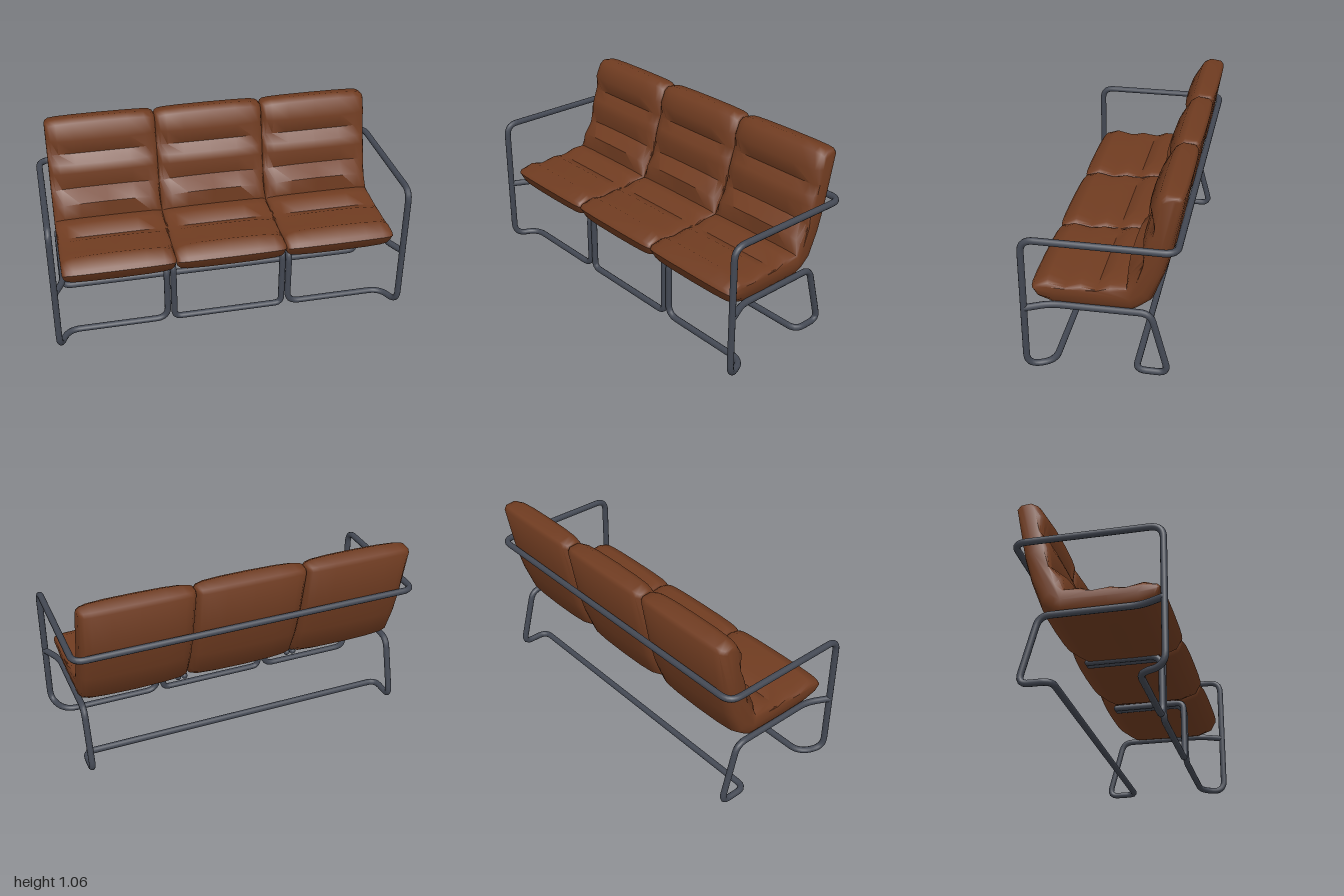
import * as THREE from 'three';
import { toCreasedNormals } from 'three/addons/utils/BufferGeometryUtils.js';

const R = 0.018; // tube radius

// Path through corner points, each corner rounded by the given distance
function roundedPath(pts, bend) {
  const v = pts.map((p) => new THREE.Vector3(...p));
  const path = new THREE.CurvePath();
  let from = v[0];
  for (let i = 1; i < v.length - 1; i++) {
    const toPrev = v[i - 1].clone().sub(v[i]);
    const toNext = v[i + 1].clone().sub(v[i]);
    const d = Math.min(bend, toPrev.length() * 0.48, toNext.length() * 0.48);
    const a = v[i].clone().add(toPrev.setLength(d));
    const b = v[i].clone().add(toNext.setLength(d));
    path.add(new THREE.LineCurve3(from, a));
    path.add(new THREE.QuadraticBezierCurve3(a, v[i], b));
    from = b;
  }
  path.add(new THREE.LineCurve3(from, v[v.length - 1]));
  path.arcLengthDivisions = 1000;
  return path;
}

// Half path plus its mirror image, joined across x = 0
const mirrored = (half) => [...half, ...half.slice().reverse().map(([x, y, z]) => [-x, y, z])];

function tube(name, pts, bend, material) {
  const group = new THREE.Group();
  group.name = name;
  const path = roundedPath(pts, bend);
  const segments = Math.ceil(path.getLength() * 60);
  group.add(new THREE.Mesh(new THREE.TubeGeometry(path, segments, R, 10, false), material));
  for (const p of [pts[0], pts[pts.length - 1]]) {
    const end = new THREE.Mesh(new THREE.SphereGeometry(R, 10, 8), material);
    end.position.set(...p);
    group.add(end);
  }
  group.children.forEach((m) => { m.name = name; });
  return group;
}

// Cushion outline (z, y) in the middle: padded rolls on top, full underside
const MIDDLE = [
  [0.375, 0.475], [0.36, 0.495], [0.28, 0.535], [0.19, 0.495], [0.11, 0.527], [0.03, 0.49],
  [-0.04, 0.54], [-0.115, 0.525], [-0.115, 0.62], [-0.205, 0.675], [-0.19, 0.775],
  [-0.21, 0.82], [-0.255, 0.87], [-0.22, 0.965], [-0.275, 1.05], [-0.315, 1.068],
  [-0.39, 1.05], [-0.405, 1.03], [-0.355, 0.74], [-0.315, 0.6], [-0.255, 0.44],
  [-0.18, 0.385], [-0.14, 0.362], [0.1, 0.36], [0.25, 0.362], [0.335, 0.4],
];
// Matching outline of the thin side band between the seams
const SIDE = [
  [0.35, 0.465], [0.34, 0.482], [0.28, 0.483], [0.19, 0.482], [0.11, 0.485], [0.03, 0.488],
  [-0.04, 0.492], [-0.13, 0.503], [-0.17, 0.545], [-0.205, 0.65], [-0.235, 0.76],
  [-0.25, 0.82], [-0.262, 0.87], [-0.282, 0.96], [-0.297, 1.015], [-0.315, 1.035],
  [-0.35, 1.035], [-0.36, 1.02], [-0.29, 0.74], [-0.25, 0.6], [-0.2, 0.5],
  [-0.17, 0.465], [-0.14, 0.455], [0.1, 0.448], [0.25, 0.45], [0.33, 0.452],
];
const FIRST_BACK = 16; // outline points from here on belong to the underside

function cushionGeometry(halfWidth) {
  // [position across, fullness of top, fullness of underside]
  const half = [[1, 0, 0], [0.975, 0.35, 0.45], [0.92, 0.62, 0.75], [0.8, 0.83, 0.89],
    [0.5, 0.96, 0.97]];
  const sections = [...half.map(([u, t, b]) => [-u, t, b]), [0, 1, 1], ...half.slice().reverse()];
  const n = SIDE.length;
  const positions = [];
  const index = [];
  for (const [u, top, under] of sections) {
    SIDE.forEach(([z, y], j) => {
      const f = j < FIRST_BACK ? top : under;
      positions.push(u * halfWidth, y + (MIDDLE[j][1] - y) * f, z + (MIDDLE[j][0] - z) * f);
    });
  }
  for (let i = 0; i < sections.length - 1; i++) {
    for (let j = 0; j < n; j++) {
      const a = i * n + j, c = i * n + (j + 1) % n;
      index.push(a, a + n, c, a + n, c + n, c);
    }
  }
  // Flat side faces
  const last = (sections.length - 1) * n;
  const contour = SIDE.map(([z, y]) => new THREE.Vector2(z, y));
  for (const [a, b, c] of THREE.ShapeUtils.triangulateShape(contour, [])) {
    const p = contour[a], q = contour[b], r = contour[c];
    const facesRight = (q.y - p.y) * (r.x - p.x) - (q.x - p.x) * (r.y - p.y) > 0;
    const [s, t] = facesRight ? [b, c] : [c, b];
    index.push(last + a, last + s, last + t, a, t, s);
  }
  const geometry = new THREE.BufferGeometry();
  geometry.setAttribute('position', new THREE.Float32BufferAttribute(positions, 3));
  geometry.setIndex(index);
  return toCreasedNormals(geometry, 0.95);
}

export function createModel() {
  const model = new THREE.Group();
  model.name = 'threeSeatSofa';
  const leather = new THREE.MeshStandardMaterial({ color: 0x703c21 });
  leather.name = 'brown leather';
  const steel = new THREE.MeshStandardMaterial({ color: 0x434853 });
  steel.name = 'dark steel';

  // Three joined cushions
  const cushion = cushionGeometry(0.311);
  ['rightCushion', 'middleCushion', 'leftCushion'].forEach((name, i) => {
    const mesh = new THREE.Mesh(cushion, leather);
    mesh.name = name;
    mesh.position.x = (i - 1) * 0.622;
    model.add(mesh);
  });

  // One tube: seat support, inner leg, floor bar, front post, armrest, back rail, and mirrored
  model.add(tube('armFrame', mirrored([
    [0.354, 0.376, -0.15], [0.354, 0.376, 0.255], [0.354, 0.024, 0.255], [0.925, 0.024, 0.255],
    [0.982, 0.024, 0.392], [0.982, 0.777, 0.392], [0.982, 0.777, -0.378],
  ]), 0.07, steel));

  // Centre loop of inner legs and floor bar
  model.add(tube('centreLegLoop', mirrored([
    [0.316, 0.376, -0.15], [0.316, 0.376, 0.255], [0.316, 0.024, 0.255],
  ]), 0.04, steel));

  // Side seat rails running into the rear legs and rear floor bar
  model.add(tube('rearLegFrame', mirrored([
    [0.982, 0.38, 0.385], [0.925, 0.38, 0.27], [0.922, 0.38, -0.245],
    [0.922, 0.024, -0.34], [0.922, 0.024, -0.17],
  ]), 0.055, steel));

  return model;
}
